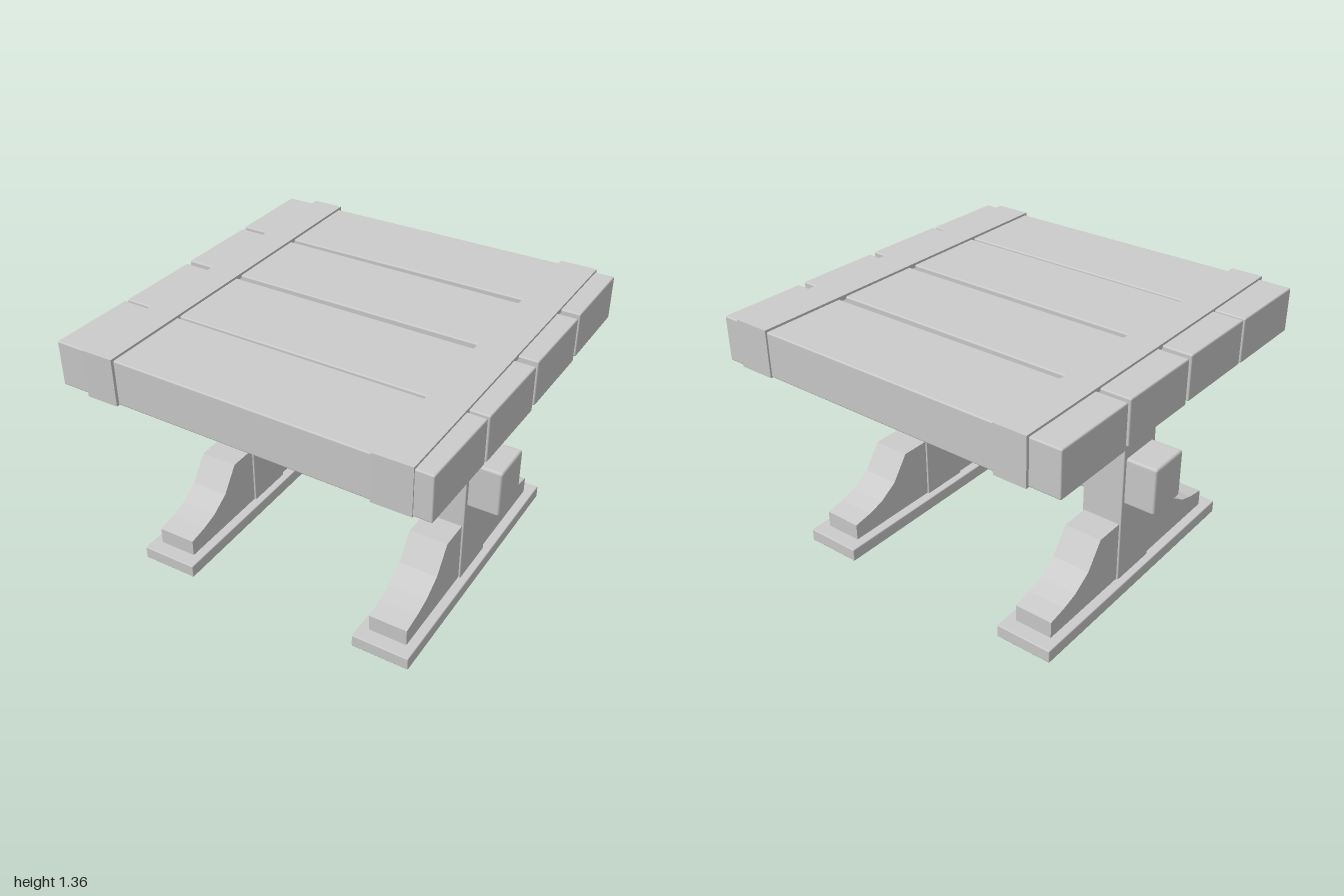
import * as THREE from 'three';
import { RoundedBoxGeometry } from 'three/addons/geometries/RoundedBoxGeometry.js';

const material = new THREE.MeshStandardMaterial({ color: 0xcccccc });

// Softly bevelled beam given by its extents on each axis
function beam(name, [x0, x1], [y0, y1], [z0, z1], radius = 0.01) {
  const mesh = new THREE.Mesh(new RoundedBoxGeometry(x1 - x0, y1 - y0, z1 - z0, 2, radius), material);
  mesh.position.set((x0 + x1) / 2, (y0 + y1) / 2, (z0 + z1) / 2);
  mesh.name = name;
  return mesh;
}

// Side profile of [z, y] points, extruded across x around a centre
function sideProfile(name, points, x, width) {
  const shape = new THREE.Shape(points.map(([z, y]) => new THREE.Vector2(z, y)));
  const geometry = new THREE.ExtrudeGeometry(shape, { depth: width, bevelEnabled: false });
  geometry.translate(0, 0, -width / 2).rotateY(-Math.PI / 2);
  const mesh = new THREE.Mesh(geometry, material);
  mesh.position.x = x;
  mesh.name = name;
  return mesh;
}

export function createModel() {
  const table = new THREE.Group();
  table.name = 'plankTable';

  // Four slightly crooked top planks: centre x, centre z, yaw
  const planks = [
    [0, -0.748, -0.002],
    [0.002, -0.245, -0.01],
    [0.002, 0.26, -0.014],
    [-0.008, 0.743, -0.016],
  ];
  for (const [x, z, yaw] of planks) {
    const plank = beam('topPlank', [-0.985, 0.985], [1.115, 1.35], [-0.234, 0.234], 0.008);
    plank.position.x = x;
    plank.position.z = z;
    plank.rotation.y = yaw;
    table.add(plank);
  }

  // Thin straps folded over the front and back edges of the top
  const straps = [
    [-0.74, 0.17, -1, 0.983],
    [0.787, 0.195, -0.99, 0.998],
  ];
  for (const [x, width, back, front] of straps) {
    const low = 1.115, high = 1.362, t = 0.025;
    table.add(sideProfile('strap', [
      [back, low], [back + t, low], [back + t, high - t], [front - t, high - t],
      [front - t, low], [front, low], [front, high], [back, high],
    ], x, width));
  }

  // Trestles: sole board, curved foot and post on each side
  const half = [[0.695, 0.06], [0.695, 0.16], [0.59, 0.178], [0.5, 0.205], [0.395, 0.27], [0.298, 0.405]];
  const zMid = 0.012;
  const footProfile = [
    ...half.map(([z, y]) => [zMid + z, y]),
    ...half.map(([z, y]) => [zMid - z, y]).reverse(),
  ];
  for (const side of [-1, 1]) {
    const x = side * 0.632;
    const trestle = new THREE.Group();
    trestle.name = side < 0 ? 'rightTrestle' : 'leftTrestle';
    trestle.add(
      beam('soleBoard', [x - 0.155, x + 0.155], [0, 0.07], [-0.765, 0.785], 0.006),
      sideProfile('curvedFoot', footProfile, x, 0.206),
      beam('post', [x - 0.114, x + 0.114], [0.06, 1.18], [-0.125, 0.15], 0.006),
    );
    table.add(trestle);
  }

  // Long stretcher passing through both posts
  table.add(beam('stretcher', [-0.915, 0.915], [0.518, 0.778], [-0.108, 0.128], 0.014));

  return table;
}
